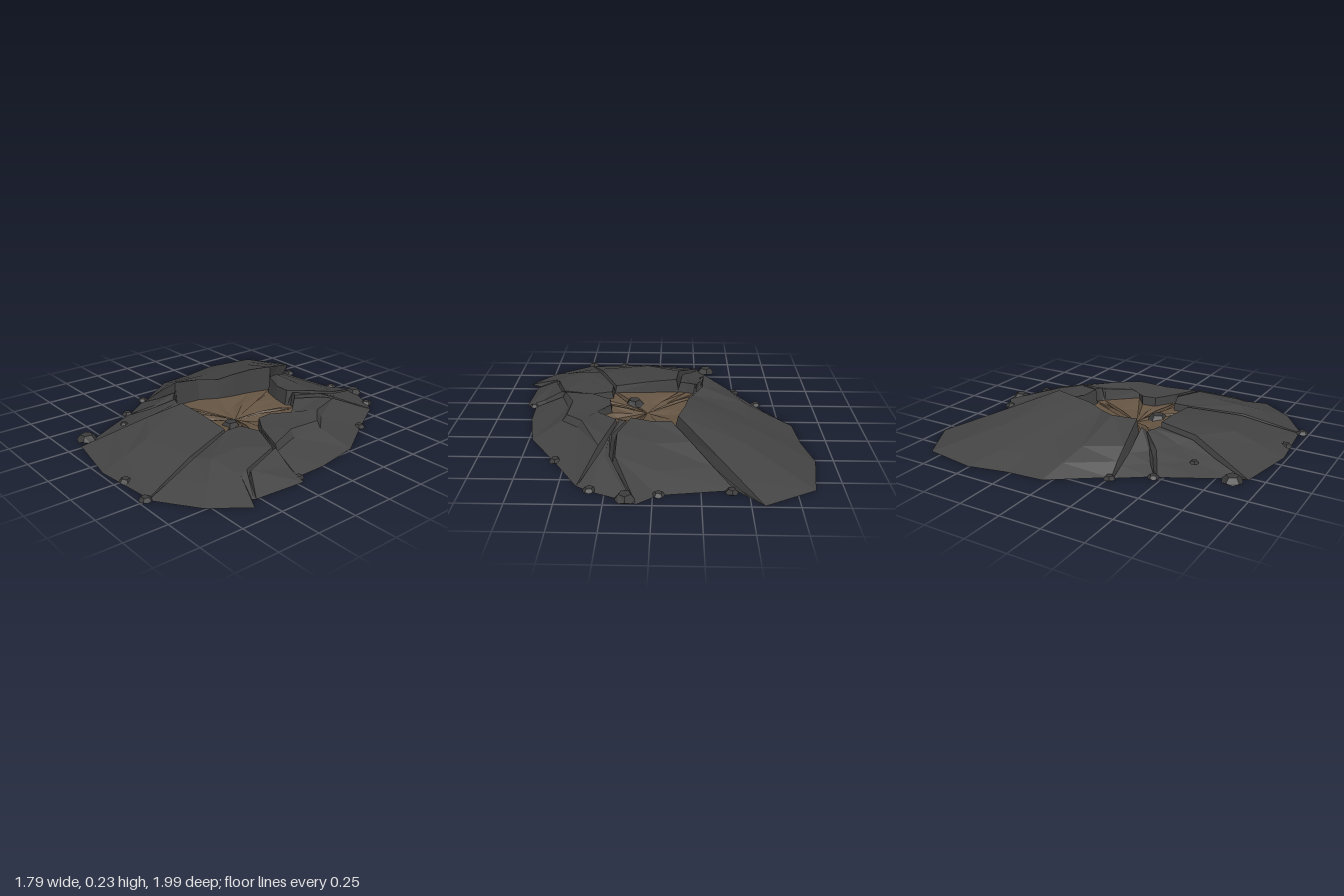
import * as THREE from 'three';

// Each slab is a fan of spokes running from the crater rim down to the ground.
const SLABS = {
  leftBackSlab: [
    [[-.13, .23, -.42], [-.35, .115, -.70], [-.57, 0, -.99]],
    [[-.17, .23, -.28], [-.50, .12, -.53], [-.85, 0, -.83]],
    [[-.19, .22, -.15], [-.55, .115, -.32], [-.90, 0, -.51]],
    [[-.22, .20, -.05], [-.54, .11, -.17], [-.85, 0, -.28]],
    [[-.28, .21, .06], [-.55, .11, .03], [-.83, 0, -.05]],
    [[-.29, .225, .23], [-.45, .12, .24], [-.62, 0, .25]],
  ],
  narrowSlab: [
    [[-.27, .17, .25], [-.44, .08, .265], [-.62, 0, .27]],
    [[-.255, .15, .27], [-.36, .08, .35], [-.50, 0, .44]],
  ],
  frontSideSlab: [
    [[-.24, .14, .27], [-.33, .08, .38], [-.49, 0, .47]],
    [[-.19, .14, .29], [-.22, .09, .46], [-.38, 0, .68]],
    [[-.145, .14, .30], [-.16, .11, .52], [-.28, 0, .86]],
  ],
  frontSlab: [
    [[-.12, .16, .30], [-.135, .13, .53], [-.27, 0, .91]],
    [[.03, .15, .29], [.08, .11, .68], [.10, 0, .98]],
    [[.27, .12, .28], [.38, .09, .60], [.48, 0, .94]],
  ],
  frontCornerSlab: [
    [[.29, .12, .28], [.41, .09, .60], [.50, 0, .95]],
    [[.29, .12, .18], [.50, .11, .55], [.74, 0, .78]],
    [[.35, .12, .16], [.50, .12, .38], [.68, .07, .50], [.89, 0, .58]],
    [[.41, .12, .14], [.60, .11, .21], [.67, .08, .45], [.82, 0, .54]],
  ],
  wedgeSlab: [
    [[.425, .12, .135], [.615, .11, .20], [.69, .08, .44], [.83, 0, .52]],
    [[.43, .12, .13], [.63, .10, .205], [.74, .04, .21], [.85, 0, .21]],
  ],
  sideSlab: [
    [[.41, .13, .12], [.59, .115, .18], [.61, .08, .18], [.79, 0, .195]],
    [[.29, .13, .04], [.52, .13, 0], [.55, .09, 0], [.785, 0, 0]],
    [[.28, .13, -.05], [.53, .13, -.20], [.56, .09, -.20], [.73, 0, -.28]],
    [[.38, .13, -.13], [.43, .14, -.30], [.455, .10, -.31], [.56, 0, -.55]],
    [[.23, .15, -.30], [.28, .13, -.48], [.31, .11, -.56], [.41, 0, -.81]],
  ],
  backSliverSlab: [
    [[.21, .16, -.32], [.25, .14, -.49], [.29, .10, -.60], [.40, 0, -.82]],
    [[.20, .16, -.33], [.25, .14, -.50], [.27, .09, -.64], [.33, 0, -.87]],
    [[.17, .16, -.34], [.24, .14, -.48], [.24, .10, -.66], [.11, 0, -.97]],
  ],
  backSlab: [
    [[.14, .17, -.32], [.21, .15, -.48], [.21, .10, -.66], [.08, 0, -.99]],
    [[.03, .16, -.34], [0, .12, -.55], [-.02, .06, -.75], [-.03, 0, -.90]],
    [[-.09, .18, -.38], [-.20, .13, -.54], [-.32, .06, -.70], [-.43, 0, -.84]],
  ],
};

// Every spoke gets four points so that neighbours can be joined.
const lerp = (a, b, t) => a.map((v, i) => v + (b[i] - v) * t);
const pad = s => s.length === 4 ? s : [s[0], s[1], lerp(s[1], s[2], .5), s[2]];

// Joins consecutive point rows with quads, leaving the faces unshared for flat shading.
function loft(rows) {
  const pos = [];
  for (let i = 0; i + 1 < rows.length; i++) {
    for (let j = 0; j + 1 < rows[i].length; j++) {
      const a = rows[i][j], b = rows[i][j + 1], c = rows[i + 1][j + 1], d = rows[i + 1][j];
      pos.push(...a, ...b, ...c, ...a, ...c, ...d);
    }
  }
  const geo = new THREE.BufferGeometry();
  geo.setAttribute('position', new THREE.Float32BufferAttribute(pos, 3));
  // turn every triangle to face upward
  const p = geo.attributes.position, v = [0, 1, 2].map(() => new THREE.Vector3());
  const n = new THREE.Vector3();
  for (let t = 0; t < p.count; t += 3) {
    v.forEach((q, k) => q.fromBufferAttribute(p, t + k));
    new THREE.Triangle(...v).getNormal(n);
    if (n.y < 0) {
      p.setXYZ(t + 1, ...v[2].toArray());
      p.setXYZ(t + 2, ...v[1].toArray());
    }
  }
  geo.computeVertexNormals();
  return geo;
}

function material(name, color) {
  const m = new THREE.MeshStandardMaterial({ color, flatShading: true, side: THREE.DoubleSide });
  m.name = name;
  return m;
}

export function createModel() {
  const group = new THREE.Group();
  const asphalt = material('charcoal slab', 0x444444);
  const rubble = material('dark rubble', 0x3c3c3c);
  const earth = material('brown earth', 0x665543);
  const add = (name, geo, mat) => {
    const mesh = new THREE.Mesh(geo, mat);
    mesh.name = name;
    group.add(mesh);
    return mesh;
  };

  // Lifted slabs
  const slabs = Object.entries(SLABS).map(([name, spokes]) => {
    const rows = spokes.map(pad);
    add(name, loft(rows), asphalt);
    return rows;
  });

  // V-shaped cracks between neighbouring slabs
  const rim = [];
  slabs.forEach((rows, i) => {
    const left = rows[rows.length - 1], right = slabs[(i + 1) % slabs.length][0];
    const valley = left.map((p, j) => {
      const m = lerp(p, right[j], .5);
      m[1] = Math.max(0, Math.min(p[1], right[j][1]) - .045);
      return m;
    });
    add('crack', loft([left, valley, right]), asphalt);
    rim.push(...rows.map(r => r[0]), valley[0]);
  });
  rim.push(rim[0]);

  // Broken rim wall dropping to the crater floor
  const centre = [.06, .04, .03];
  const foot = rim.map(([x, y, z]) => [
    x + (centre[0] - x) * .03, Math.min(y - .03, .075), z + (centre[2] - z) * .03]);
  add('rimWall', loft(rim.map((p, i) => [p, foot[i]])), asphalt);

  // Uneven earth floor
  const floorRows = foot.map((p, i) => {
    const k = i % (foot.length - 1);
    const m = lerp(p, centre, .5 + .12 * Math.sin(k * 2.3));
    m[1] = .055 + .015 * Math.sin(k * 1.7);
    return [p, m, centre];
  });
  add('craterFloor', loft(floorRows), earth);

  // Loose stones: x, base y, z, radius
  [
    [-.41, 0, -.86, .036], [-.03, 0, -.90, .034], [.14, 0, -.94, .057], [.33, 0, -.86, .036],
    [.555, 0, -.545, .036], [.80, 0, .20, .03], [.49, 0, .96, .037], [.26, 0, .935, .037],
    [-.33, 0, .84, .06], [-.30, .04, .60, .027], [-.505, 0, .455, .034], [-.635, 0, .255, .035],
    [.145, .05, .135, .062],
  ].forEach(([x, y, z, r], i) => {
    const geo = new THREE.DodecahedronGeometry(r, 0);
    geo.rotateX(.55).rotateY(i * 1.9).scale(1, .75, 1);
    const p = geo.attributes.position;
    for (let k = 0; k < p.count; k++) p.setY(k, Math.max(0, p.getY(k)));
    geo.computeVertexNormals();
    add('stone', geo, rubble).position.set(x, y, z);
  });

  return group;
}
